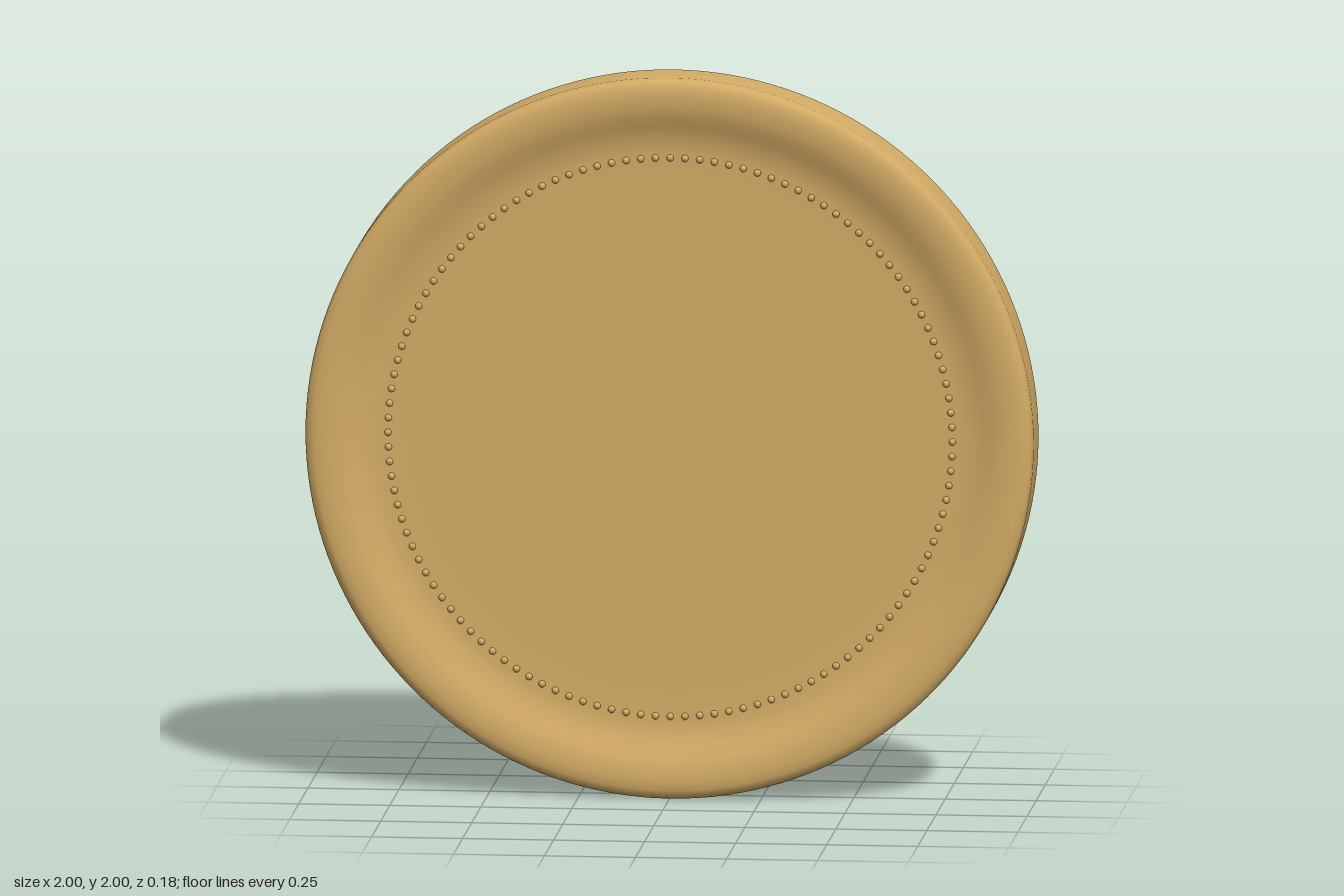
import * as THREE from 'three';

const FACE_Z = 0.05;      // height of the recessed face
const BEADS = 120;
const BEAD_RING = 0.775;

export function createModel() {
  const group = new THREE.Group();
  const gold = new THREE.MeshStandardMaterial({ color: 0xd4ac66 });
  gold.name = 'gold';

  // Half profile (radius, height) from the face centre out to the edge
  const half = [
    [0, FACE_Z], [0.7, FACE_Z], [0.79, FACE_Z + 0.001], [0.83, 0.056], [0.865, 0.069],
    [0.89, 0.08], [0.92, 0.088], [0.95, 0.09], [0.975, 0.088], [0.992, 0.08], [1, 0.066],
  ];
  const profile = [
    ...half.map(([r, h]) => new THREE.Vector2(r, -h)),
    ...half.slice().reverse().map(([r, h]) => new THREE.Vector2(r, h)),
  ];
  const disc = new THREE.Mesh(new THREE.LatheGeometry(profile, 160).rotateX(Math.PI / 2), gold);
  disc.name = 'coinBody';
  disc.position.y = 1;
  group.add(disc);

  // Ring of small beads on each face
  const beadGeometry = new THREE.SphereGeometry(0.01, 10, 8);
  for (const side of [1, -1]) {
    const ring = new THREE.Group();
    ring.name = side > 0 ? 'frontBeads' : 'backBeads';
    ring.position.set(0, 1, side * FACE_Z);
    for (let i = 0; i < BEADS; i++) {
      const a = (i / BEADS) * Math.PI * 2;
      const bead = new THREE.Mesh(beadGeometry, gold);
      bead.name = 'bead';
      bead.position.set(Math.cos(a) * BEAD_RING, Math.sin(a) * BEAD_RING, 0);
      ring.add(bead);
    }
    group.add(ring);
  }
  return group;
}
